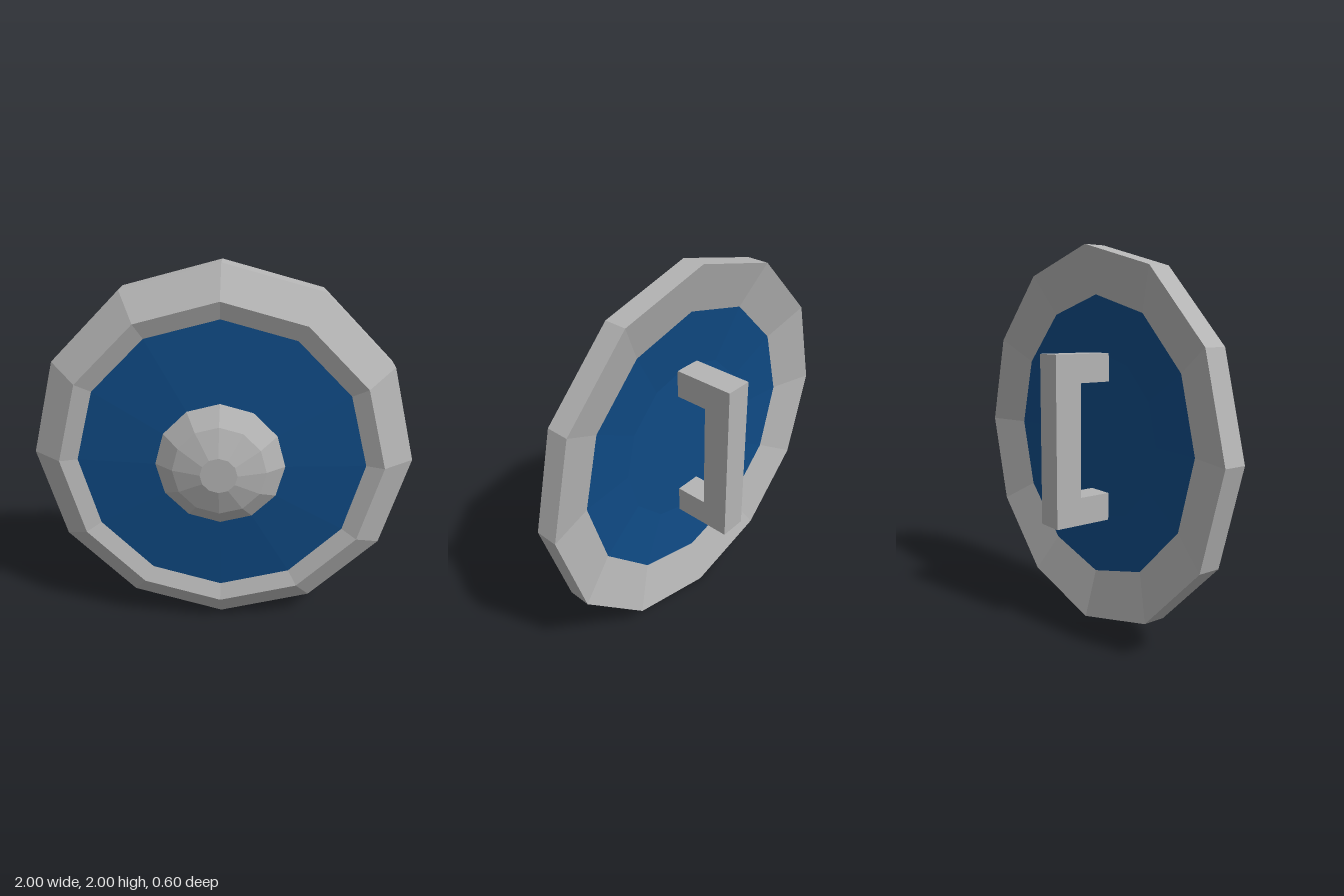
import * as THREE from 'three';

const SIDES = 12;

function material(name, color) {
  const m = new THREE.MeshStandardMaterial({ color });
  m.name = name;
  return m;
}

// Faceted ring or disc turned about the z axis from [radius, z] points,
// ordered from the back outward and round to the front.
function turned(name, profile, mat) {
  const points = profile.map(([r, z]) => new THREE.Vector2(r, z));
  const geometry = new THREE.LatheGeometry(points, SIDES).rotateX(Math.PI / 2).toNonIndexed();
  geometry.computeVertexNormals();
  const mesh = new THREE.Mesh(geometry, mat);
  mesh.name = name;
  return mesh;
}

export function createModel() {
  const steel = material('steel grey', 0xb4b4b4);
  const blue = material('deep blue', 0x0f4a84);

  const shield = new THREE.Group();
  shield.name = 'shield';
  shield.position.y = 1;

  // Bevelled rim with a dished back and an inner lip
  shield.add(turned('rim', [
    [0.75, 0], [1, -0.07], [1, 0.05], [0.84, 0.172], [0.75, 0.14],
  ], steel));

  // Painted panels: shallow dome in front, shallow hollow behind
  shield.add(turned('frontPanel', [[0.75, 0.14], [0.335, 0.172]], blue));
  shield.add(turned('backPanel', [[0, 0.03], [0.45, 0.03], [0.75, 0]], blue));

  // Central boss
  shield.add(turned('boss', [
    [0.335, 0.172], [0.24, 0.25], [0.095, 0.3], [0, 0.3],
  ], steel));

  // C-shaped grip, drawn in the side plane with x pointing backward
  const outline = new THREE.Shape([
    [-0.035, -0.448], [0.3, -0.448], [0.3, 0.448], [-0.035, 0.448],
    [-0.035, 0.3], [0.15, 0.3], [0.15, -0.3], [-0.035, -0.3],
  ].map(([x, y]) => new THREE.Vector2(x, y)));
  const gripGeometry = new THREE.ExtrudeGeometry(outline, { depth: 0.146, bevelEnabled: false })
    .translate(0, 0, -0.073)
    .rotateY(Math.PI / 2);
  const grip = new THREE.Mesh(gripGeometry, steel);
  grip.name = 'grip';
  shield.add(grip);

  const model = new THREE.Group();
  model.name = 'roundShield';
  model.add(shield);
  return model;
}
